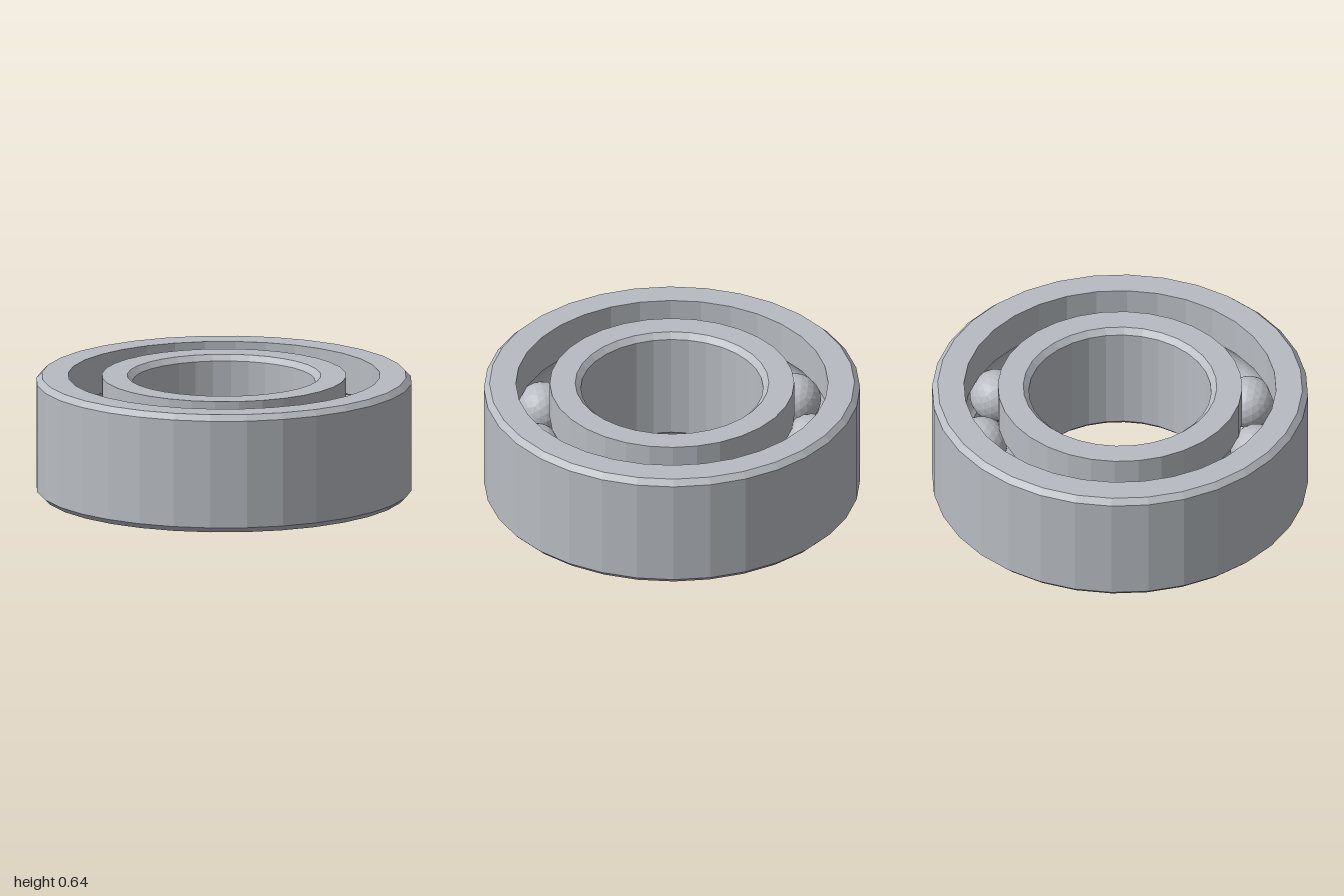
import * as THREE from 'three';

const HEIGHT = 0.64, MID = HEIGHT / 2;
const SEGMENTS = 32;
const BALLS = 11, BALL_RADIUS = 0.14, PITCH_RADIUS = 0.74;
const OUTER_RACE = 0.83, INNER_RACE = 0.65, CHAMFER = 0.03;

// One normal per face for the faceted look
function faceted(geometry) {
  const flat = geometry.index ? geometry.toNonIndexed() : geometry;
  flat.computeVertexNormals();
  return flat;
}

// Arc of the ball groove, in (radius, height), between two angles
function groove(from, to, steps = 10) {
  const points = [];
  for (let i = 0; i <= steps; i++) {
    const t = from + ((to - from) * i) / steps;
    points.push([PITCH_RADIUS + BALL_RADIUS * Math.cos(t), MID + BALL_RADIUS * Math.sin(t)]);
  }
  return points;
}

// Closed profile, counter-clockwise, turned about y
function ring(name, profile, material) {
  const points = [...profile, profile[0]].map(([r, y]) => new THREE.Vector2(r, y));
  const mesh = new THREE.Mesh(faceted(new THREE.LatheGeometry(points, SEGMENTS)), material);
  mesh.name = name;
  return mesh;
}

export function createModel() {
  const model = new THREE.Group();
  model.name = 'ballBearing';
  const steel = new THREE.MeshStandardMaterial({ color: 0xb8bcc2 });
  steel.name = 'steel';

  // Outer ring: chamfered outside, grooved inside
  const a = Math.acos((OUTER_RACE - PITCH_RADIUS) / BALL_RADIUS);
  model.add(ring('outerRing', [
    [OUTER_RACE, 0], [1 - CHAMFER, 0], [1, CHAMFER], [1, HEIGHT - CHAMFER],
    [1 - CHAMFER, HEIGHT], [OUTER_RACE, HEIGHT], ...groove(a, -a),
  ], steel));

  // Inner ring: grooved outside, chamfered bore
  const b = Math.acos((PITCH_RADIUS - INNER_RACE) / BALL_RADIUS);
  const bore = 0.485;
  model.add(ring('innerRing', [
    [bore + CHAMFER, 0], [INNER_RACE, 0], ...groove(Math.PI + b, Math.PI - b),
    [INNER_RACE, HEIGHT], [bore + CHAMFER, HEIGHT],
    [bore, HEIGHT - CHAMFER], [bore, CHAMFER],
  ], steel));

  // Balls spaced evenly around the race
  const balls = new THREE.Group();
  balls.name = 'balls';
  const ballGeometry = faceted(new THREE.IcosahedronGeometry(BALL_RADIUS, 3));
  for (let i = 0; i < BALLS; i++) {
    const angle = (i / BALLS) * Math.PI * 2;
    const ball = new THREE.Mesh(ballGeometry, steel);
    ball.name = `ball${i + 1}`;
    ball.position.set(PITCH_RADIUS * Math.cos(angle), MID, PITCH_RADIUS * Math.sin(angle));
    ball.rotation.y = -angle;
    balls.add(ball);
  }
  model.add(balls);
  return model;
}
